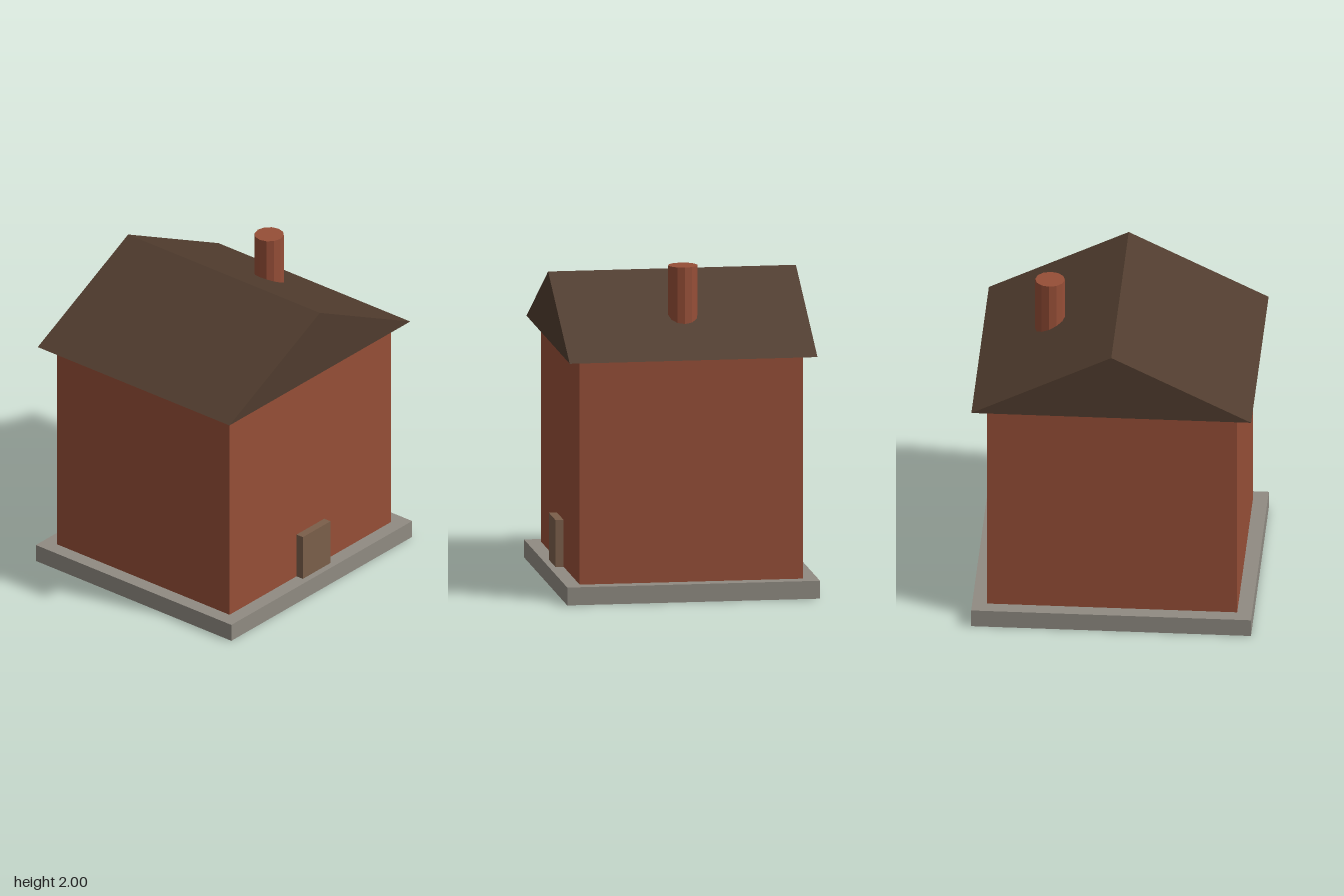
import * as THREE from 'three';

const paint = (name, color) => {
  const m = new THREE.MeshStandardMaterial({ color });
  m.name = name;
  return m;
};

export function createModel() {
  const house = new THREE.Group();
  house.name = 'house';

  const brick = paint('brick red', 0x964e37);
  const roofBrown = paint('roof brown', 0x503c2e);
  const stone = paint('stone grey', 0x908b82);
  const wood = paint('door brown', 0x7b5f4a);

  const add = (name, geometry, material, x, y, z) => {
    const mesh = new THREE.Mesh(geometry, material);
    mesh.name = name;
    mesh.position.set(x, y, z);
    house.add(mesh);
  };
  // Box given by its size, bottom height and centre depth
  const addBox = (name, w, h, d, material, bottom, z = 0) =>
    add(name, new THREE.BoxGeometry(w, h, d), material, 0, bottom + h / 2, z);

  addBox('foundation', 1.7, 0.11, 1.55, stone, 0);
  addBox('walls', 1.52, 1.38, 1.37, brick, 0.11);
  // The door runs down through the foundation
  addBox('door', 0.26, 0.4, 0.05, wood, -0.001, 0.71);

  // Solid gable roof with overhanging eaves
  const gable = new THREE.Shape([
    new THREE.Vector2(-0.85, 0),
    new THREE.Vector2(0.85, 0),
    new THREE.Vector2(0, 0.42),
  ]);
  const roof = new THREE.ExtrudeGeometry(gable, { depth: 1.52, bevelEnabled: false });
  add('roof', roof, roofBrown, 0, 1.487, -0.76);

  // Faceted round chimney, sunk into the left roof slope
  const chimney = new THREE.CylinderGeometry(0.09, 0.09, 0.42, 12).toNonIndexed();
  chimney.computeVertexNormals();
  add('chimney', chimney, brick, 0.425, 1.79, 0);

  return house;
}
